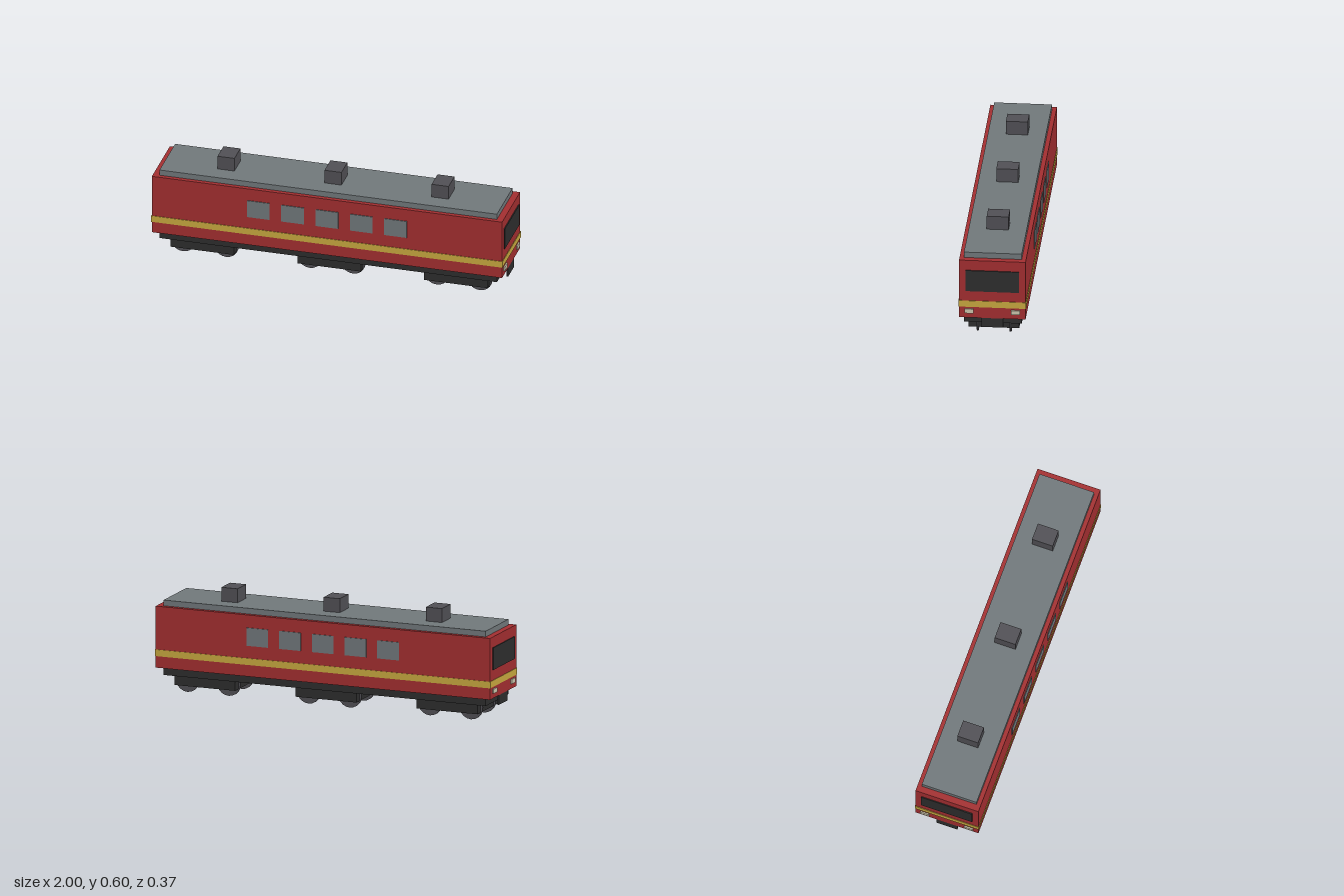
import * as THREE from 'three';

const mat = (name, color) => {
  const m = new THREE.MeshStandardMaterial({ color });
  m.name = name;
  return m;
};

export function createModel() {
  const red = mat('body red', 0xa22e30);
  const yellow = mat('stripe yellow', 0xc6a73f);
  const dark = mat('underframe black', 0x2d2d2d);
  const grey = mat('roof grey', 0x70777a);
  const steel = mat('steel grey', 0x504f54);
  const cream = mat('lamp cream', 0xcbc5ac);

  const train = new THREE.Group();
  train.name = 'railcar';

  // Box given by its extents: [min, max] per axis
  const box = (name, material, [x0, x1], [y0, y1], [z0, z1], parent = train) => {
    const mesh = new THREE.Mesh(new THREE.BoxGeometry(x1 - x0, y1 - y0, z1 - z0), material);
    mesh.position.set((x0 + x1) / 2, (y0 + y1) / 2, (z0 + z1) / 2);
    mesh.name = name;
    parent.add(mesh);
    return mesh;
  };
  const span = (half, centre = 0) => [centre - half, centre + half];

  // Main shell
  box('underframe', dark, span(0.955), [0.098, 0.141], span(0.158));
  box('body', red, span(0.991), [0.141, 0.485], span(0.182));
  box('stripe', yellow, span(0.994), [0.206, 0.243], span(0.185));
  box('roof', grey, span(0.955), [0.485, 0.517], span(0.158));

  // Roof units
  for (const x of [-0.606, 0, 0.606]) {
    box('roofUnit', steel, span(0.048, x), [0.517, 0.595], span(0.06));
  }

  // Side windows on both sides
  for (const side of [-1, 1]) {
    for (let i = -2; i <= 2; i++) {
      box('sideWindow', grey, span(0.064, i * 0.194), [0.313, 0.414], span(0.003, side * 0.183));
    }
  }

  // Ends: windscreen, headlamps and coupler plate
  for (const end of [-1, 1]) {
    box('windscreen', dark, span(0.004, end * 0.993), [0.302, 0.426], span(0.147));
    box('couplerPlate', dark, span(0.004, end * 0.987), [0.087, 0.141], span(0.06));
    for (const side of [-1, 1]) {
      box('headlamp', cream, span(0.004, end * 0.996), [0.17, 0.195], span(0.025, side * 0.127));
    }
  }

  // Bogies, each with two pairs of thin wheels
  const wheelGeometry = new THREE.CylinderGeometry(0.07, 0.07, 0.008, 20).rotateX(Math.PI / 2);
  for (const x of [-0.718, 0, 0.718]) {
    const bogie = new THREE.Group();
    bogie.name = 'bogie';
    bogie.position.x = x;
    train.add(bogie);
    box('bogieFrame', dark, span(0.18), [0.043, 0.098], span(0.139), bogie);
    for (const dx of [-0.122, 0.122]) {
      for (const z of [-0.09, 0.09]) {
        const wheel = new THREE.Mesh(wheelGeometry, steel);
        wheel.name = 'wheel';
        wheel.position.set(dx, 0.07, z);
        bogie.add(wheel);
      }
    }
  }

  return train;
}
